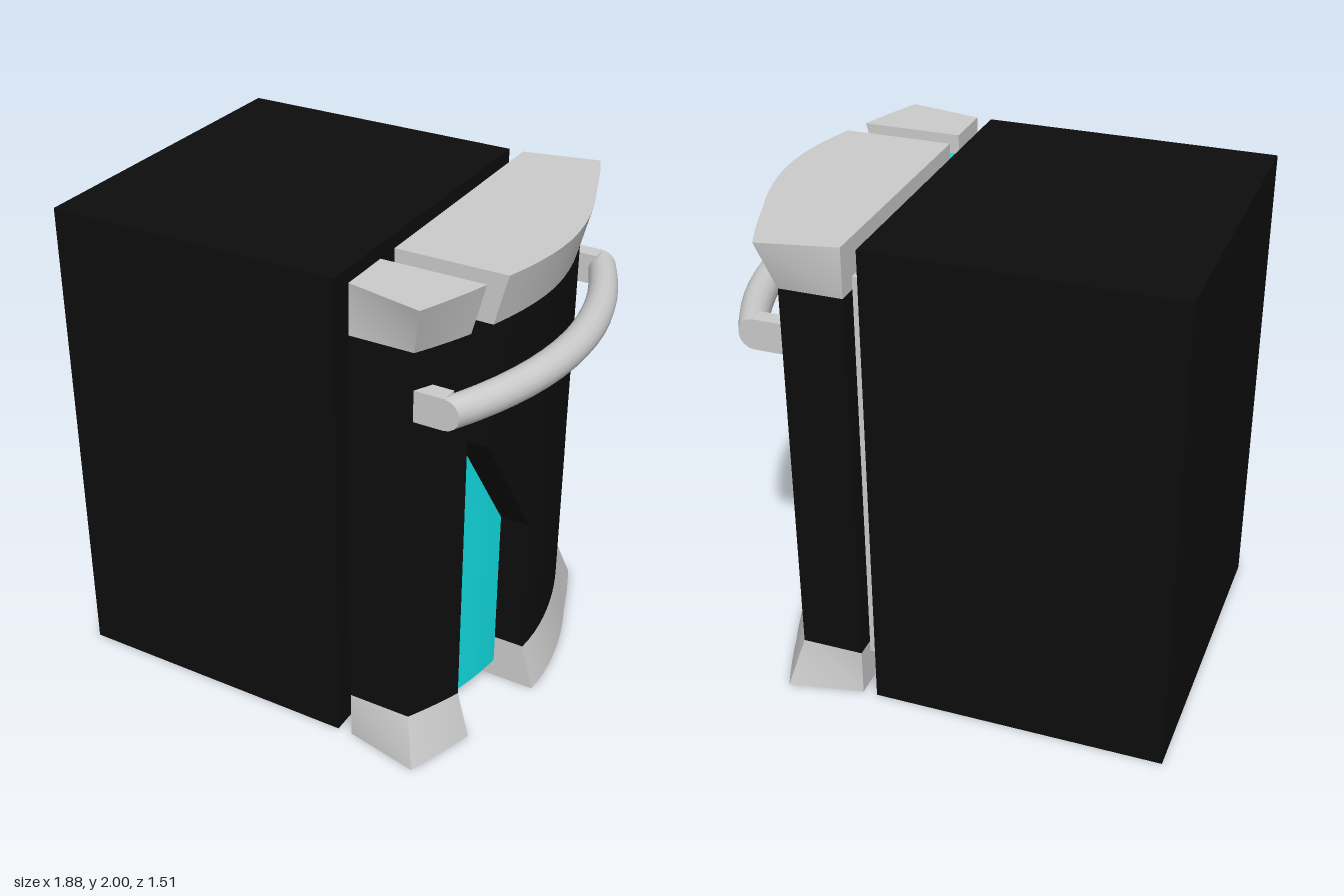
import * as THREE from 'three';
import { toCreasedNormals } from 'three/addons/utils/BufferGeometryUtils.js';

const black = new THREE.MeshStandardMaterial({ color: 0x0d0d0d });
const grey = new THREE.MeshStandardMaterial({ color: 0xcccccc });
const cyan = new THREE.MeshStandardMaterial({ color: 0x11dbe0 });

const HALF = 0.69;      // half width of the cabinet
const DOOR_BACK = 0.32; // back plane of the door
const SLOT = 0.47;      // straight edge of the slot

// Bowed front of the door
const bow = (z) => 0.78 - 0.205 * Math.pow(Math.abs(z) / HALF, 1.85);

// Slanted edge of the slot: narrow above, wide below
const slotEdge = (y) => THREE.MathUtils.clamp(0.08 + (y - 0.8) * 0.58, 0.08, 0.37);

// Lofts horizontal door sections upwards. zA(y) and zB(y) bound the slice,
// flare(y) pushes the front and outer corners out, inset recesses the front.
function doorSlice(levels, zA, zB, flare = () => 0, inset = 0, n = 14) {
  const rings = levels.map((y) => {
    const a = zA(y), b = zB(y), f = flare(y);
    const ring = [[DOOR_BACK, y, a]];
    for (let i = 0; i <= n; i++) {
      const z = a + (b - a) * i / n;
      const side = Math.max(0, (Math.abs(z) - SLOT) / (HALF - SLOT));
      ring.push([bow(z) - inset + 0.052 * f, y, z + Math.sign(z) * 0.065 * f * side]);
    }
    ring.push([DOOR_BACK, y, b]);
    return ring;
  });
  const pos = [];
  const tri = (...pts) => pts.forEach((p) => pos.push(...p));
  const m = rings[0].length;
  for (let r = 0; r < rings.length - 1; r++) {
    for (let i = 0; i < m; i++) {
      const j = (i + 1) % m;
      const lo = rings[r], up = rings[r + 1];
      tri(lo[i], up[i], up[j]);
      tri(lo[i], up[j], lo[j]);
    }
  }
  const bottom = rings[0], top = rings[rings.length - 1];
  for (let k = 1; k < m - 1; k++) {
    tri(bottom[0], bottom[k], bottom[k + 1]);
    tri(top[0], top[k + 1], top[k]);
  }
  const geo = new THREE.BufferGeometry();
  geo.setAttribute('position', new THREE.Float32BufferAttribute(pos, 3));
  return toCreasedNormals(geo, 0.4);
}

export function createModel() {
  const model = new THREE.Group();
  const add = (name, geo, mat, parent = model) => {
    const mesh = new THREE.Mesh(geo, mat);
    mesh.name = name;
    parent.add(mesh);
    return mesh;
  };
  const box = (name, x0, x1, y0, y1, z0, z1, mat, parent) =>
    add(name, new THREE.BoxGeometry(x1 - x0, y1 - y0, z1 - z0), mat, parent)
      .position.set((x0 + x1) / 2, (y0 + y1) / 2, (z0 + z1) / 2);

  // Cabinet and door seal
  box('cabinet', -0.945, 0.26, 0, 2, -HALF, HALF, black);
  box('doorSeal', 0.26, DOOR_BACK, 0.15, 1.85, -0.605, 0.572, grey);

  // Door: a wide and a narrow part on either side of the slot, with flared trims
  const door = new THREE.Group();
  door.name = 'door';
  model.add(door);
  const flare = (y) => Math.max(0, Math.abs(y - 1) - 0.8) / 0.2;
  const parts = [
    ['wide', () => -HALF, slotEdge],
    ['narrow', () => SLOT, () => HALF],
  ];
  for (const [name, zA, zB] of parts) {
    add(name + 'DoorPanel', doorSlice([0.2, 0.8, 1.3, 1.8], zA, zB), black, door);
    add(name + 'BottomTrim', doorSlice([0, 0.2], zA, zB, flare), grey, door);
    add(name + 'TopTrim', doorSlice([1.8, 2], zA, zB, flare), grey, door);
  }

  // Coloured insert recessed in the slot
  add('slotInsert', doorSlice([0.08, 0.8, 1.3, 1.92], slotEdge, () => SLOT, undefined, 0.125), cyan, door);

  // Bowed handle: a straight bar bent forward, with a post at each end
  const handle = new THREE.Group();
  handle.name = 'handle';
  model.add(handle);
  const bar = new THREE.CylinderGeometry(0.0625, 0.0625, 2 * HALF, 16, 16).rotateX(Math.PI / 2);
  const p = bar.attributes.position;
  for (let i = 0; i < p.count; i++) {
    p.setX(i, p.getX(i) + 0.875 - 0.185 * Math.pow(p.getZ(i) / HALF, 2));
  }
  add('handleBar', toCreasedNormals(bar, 0.6), grey, handle).position.y = 1.592;
  for (const s of [-1, 1]) {
    const z0 = s > 0 ? HALF - 0.07 : -HALF;
    box('handlePost', 0.575, 0.695, 1.53, 1.655, z0, z0 + 0.07, grey, handle);
  }

  return model;
}
